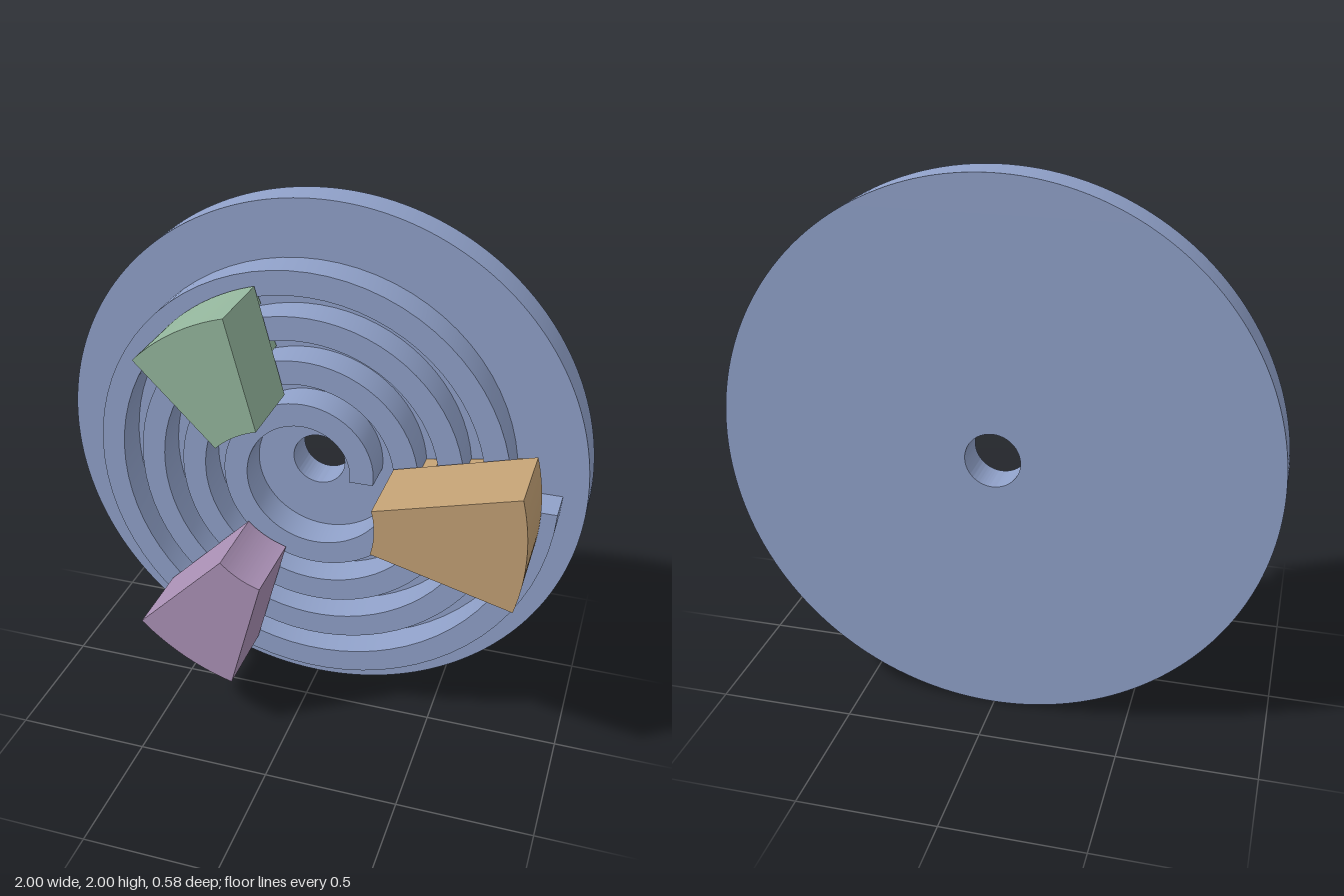
import * as THREE from 'three';
import { toCreasedNormals } from 'three/addons/utils/BufferGeometryUtils.js';

const PITCH = 1 / 6;         // radial gain of the scroll per turn
const TURNS = 4;
const CENTRE_Y = 1;
const rad = THREE.MathUtils.degToRad;

// Extrude a face-on shape between two depths
function slab(name, shape, z0, z1, color, curveSegments = 24) {
  const extruded = new THREE.ExtrudeGeometry(shape, { depth: z1 - z0, bevelEnabled: false, curveSegments });
  const mesh = new THREE.Mesh(
    toCreasedNormals(extruded, rad(25)),
    new THREE.MeshStandardMaterial({ color })
  );
  mesh.name = name;
  mesh.position.z = z0;
  return mesh;
}

// Ring sector centred on an angle
function sector(r0, r1, mid, half) {
  const shape = new THREE.Shape();
  shape.absarc(0, 0, r1, mid - half, mid + half, false);
  shape.absarc(0, 0, r0, mid + half, mid - half, true);
  shape.closePath();
  return shape;
}

// Spiral band with constant radial width
function spiralBand(rStart, width, steps) {
  const point = (r, i) => {
    const t = (i / steps) * TURNS;
    const a = t * Math.PI * 2;
    return new THREE.Vector2((r + PITCH * t) * Math.cos(a), (r + PITCH * t) * Math.sin(a));
  };
  const points = [];
  for (let i = 0; i <= steps; i++) points.push(point(rStart + width, i));
  for (let i = steps; i >= 0; i--) points.push(point(rStart, i));
  return new THREE.Shape(points);
}

export function createModel() {
  const group = new THREE.Group();
  group.name = 'scrollChuck';
  const body = new THREE.Group();
  body.name = 'body';
  body.position.y = CENTRE_Y;
  group.add(body);

  // Back plate with a centre bore
  const disc = new THREE.Shape();
  disc.absarc(0, 0, 1, 0, Math.PI * 2, false);
  const bore = new THREE.Path();
  bore.absarc(0, 0, 0.1, 0, Math.PI * 2, true);
  disc.holes.push(bore);
  const blue = 0x8fa0c8;
  body.add(slab('backPlate', disc, -0.29, -0.155, blue, 96));

  // Raised spiral thread
  body.add(slab('scrollThread', spiralBand(0.155, 0.09, TURNS * 72), -0.155, -0.02, blue));

  // Three jaws, each with teeth sitting in the spiral groove
  const jaws = [
    { name: 'sideJaw', angle: 0, color: 0xc2a074, teeth: [0.417, 0.583, 0.75] },
    { name: 'upperJaw', angle: 120, color: 0x93b59c, teeth: [0.472, 0.639] },
    { name: 'lowerJaw', angle: 240, color: 0xaa90b5, teeth: [0.361, 0.528, 0.695] },
  ];
  for (const { name, angle, color, teeth } of jaws) {
    const jaw = new THREE.Group();
    jaw.name = name;
    const mid = rad(angle);
    const outer = teeth[teeth.length - 1] + 0.105;
    jaw.add(slab('jawBlock', sector(0.333, outer, mid, rad(15)), -0.012, 0.29, color));
    for (const r of teeth) {
      jaw.add(slab('jawTooth', sector(r, r + 0.05, mid, rad(10)), -0.147, -0.012, color));
    }
    body.add(jaw);
  }
  return group;
}
